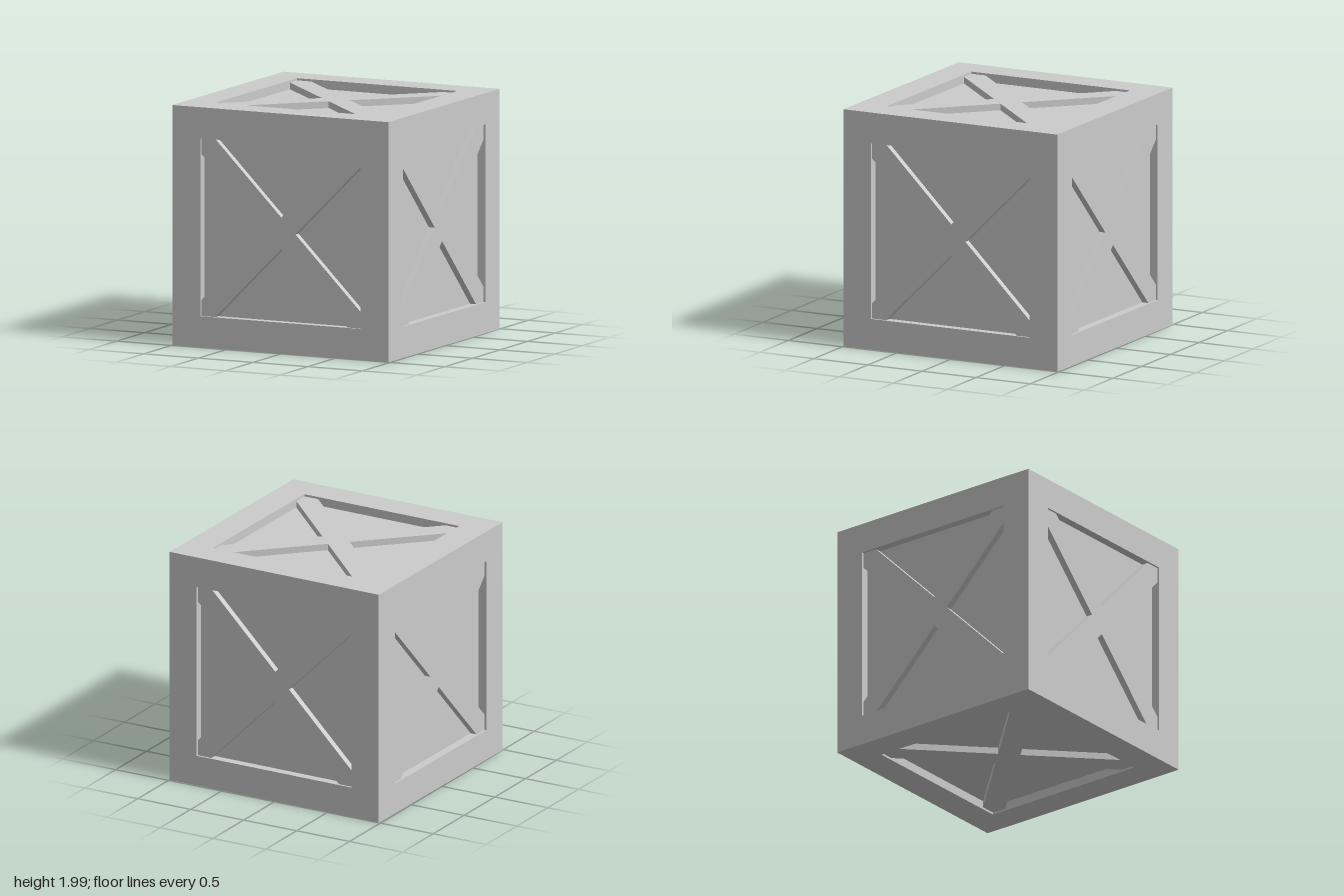
import * as THREE from 'three';

const HALF = 0.9925;   // half the crate's side
const OPEN = 0.735;    // half the opening in each frame
const DEPTH = 0.073;   // panel recess below the frame
const CROSS = 0.018;   // brace recess below the frame
const ARM = 0.13;      // half-diagonal of a brace arm

const square = (h, Type) => new Type([[-h, -h], [h, -h], [h, h], [-h, h]].map(([x, y]) => new THREE.Vector2(x, y)));

// Square frame whose outer rim is mitred at 45 degrees to meet its neighbours
function frameGeometry() {
  const shape = square(HALF, THREE.Shape);
  shape.holes.push(square(OPEN, THREE.Path));
  const geo = new THREE.ExtrudeGeometry(shape, { depth: DEPTH, bevelEnabled: false });
  geo.translate(0, 0, HALF - DEPTH);
  const p = geo.attributes.position;
  const k = (HALF - DEPTH) / HALF;
  for (let i = 0; i < p.count; i++) {
    const outer = Math.abs(p.getX(i)) > OPEN + 0.01;
    if (outer && p.getZ(i) < HALF - 0.01) p.setXY(i, p.getX(i) * k, p.getY(i) * k);
  }
  geo.computeVertexNormals();
  return geo;
}

// X-shaped brace, its arms cut square to fill the corners of the opening
function braceGeometry() {
  const points = [];
  for (let q = 0; q < 4; q++) {
    for (const [x, y] of [[OPEN, OPEN - ARM], [OPEN, OPEN], [OPEN - ARM, OPEN], [0, ARM]]) {
      points.push(new THREE.Vector2(x, y).rotateAround(new THREE.Vector2(), q * Math.PI / 2));
    }
  }
  const geo = new THREE.ExtrudeGeometry(new THREE.Shape(points), { depth: DEPTH - CROSS, bevelEnabled: false });
  return geo.translate(0, 0, HALF - DEPTH);
}

export function createModel() {
  const model = new THREE.Group();
  model.name = 'crate';
  const material = new THREE.MeshStandardMaterial({ color: 0xcccccc, flatShading: true });
  const add = (parent, name, geo) => {
    const mesh = new THREE.Mesh(geo, material);
    mesh.name = name;
    parent.add(mesh);
  };

  // Inner box: the recessed panels of all six sides
  const side = 2 * (HALF - DEPTH);
  add(model, 'panels', new THREE.BoxGeometry(side, side, side));

  // The same frame and brace on every side
  const frame = frameGeometry();
  const brace = braceGeometry();
  const q = Math.PI / 2;
  const sides = {
    front: [0, 0], left: [0, q], back: [0, 2 * q], right: [0, -q], top: [-q, 0], bottom: [q, 0],
  };
  for (const [name, [rx, ry]] of Object.entries(sides)) {
    const group = new THREE.Group();
    group.name = `${name}Side`;
    group.rotation.set(rx, ry, 0);
    add(group, `${name}Frame`, frame);
    add(group, `${name}Brace`, brace);
    model.add(group);
  }

  // Stand on the ground, turned very slightly
  model.position.y = HALF;
  model.rotation.y = -0.0076;
  const root = new THREE.Group();
  root.name = 'crateRoot';
  root.add(model);
  return root;
}
